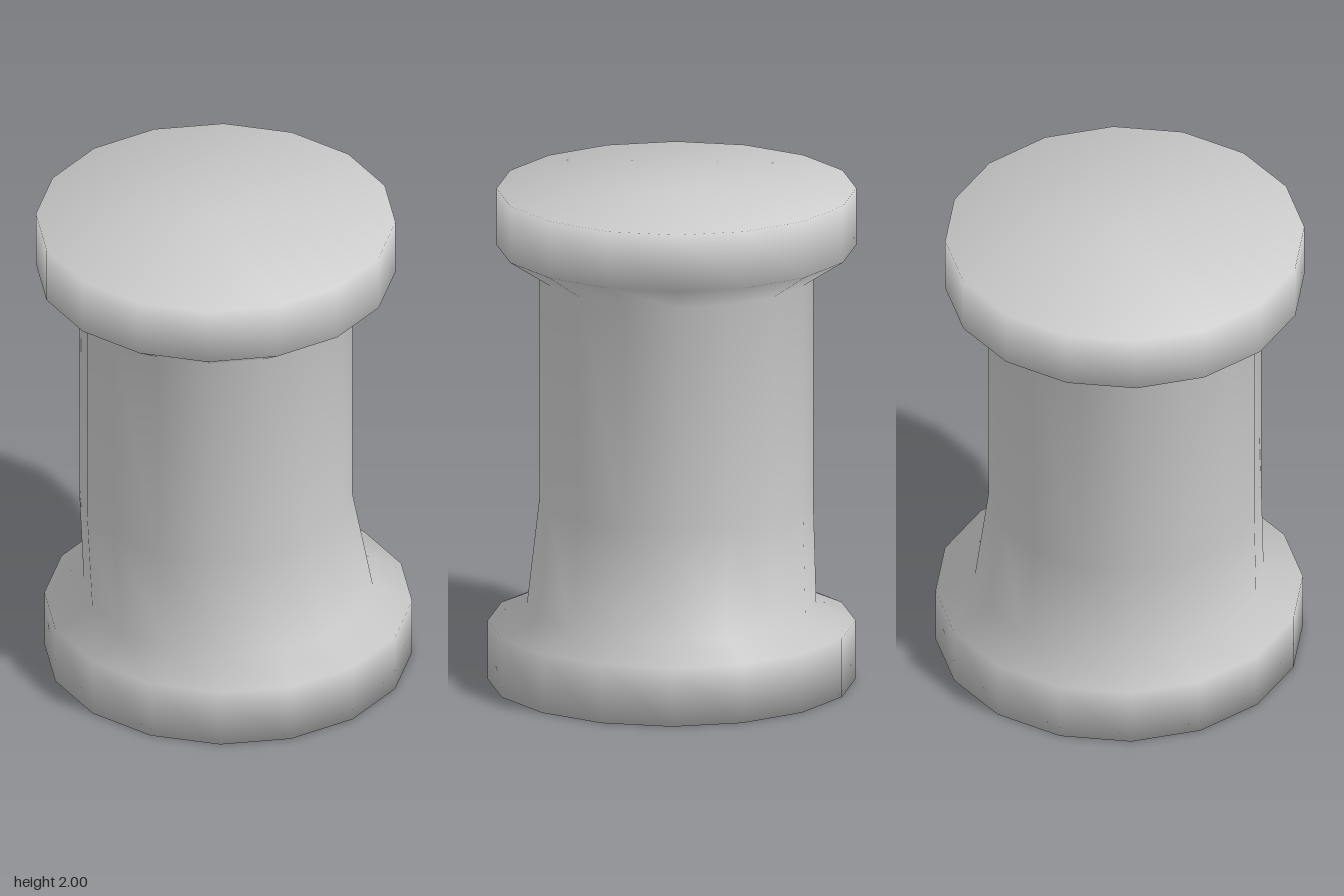
import * as THREE from 'three';

const SIDES = 16;

// Closed loft through level rings [height, centre x, radius], listed bottom to top.
// Corners are shared, so the shading runs smoothly over every edge.
function loft(rings) {
  const positions = [];
  const index = [];
  for (const [y, cx, r] of rings) {
    for (let i = 0; i < SIDES; i++) {
      const a = (i / SIDES) * Math.PI * 2;
      positions.push(cx + r * Math.cos(a), y, r * Math.sin(a));
    }
  }
  // Walls
  for (let k = 0; k < rings.length - 1; k++) {
    for (let i = 0; i < SIDES; i++) {
      const j = (i + 1) % SIDES;
      const low = k * SIDES, up = low + SIDES;
      index.push(low + i, up + i, up + j, low + i, up + j, low + j);
    }
  }
  // End caps
  const last = (rings.length - 1) * SIDES;
  const bottom = rings.length * SIDES, top = bottom + 1;
  for (const [y, cx] of [rings[0], rings[rings.length - 1]]) positions.push(cx, y, 0);
  for (let i = 0; i < SIDES; i++) {
    const j = (i + 1) % SIDES;
    index.push(bottom, i, j, top, last + j, last + i);
  }
  const geometry = new THREE.BufferGeometry();
  geometry.setAttribute('position', new THREE.Float32BufferAttribute(positions, 3));
  geometry.setIndex(index);
  geometry.computeVertexNormals();
  return geometry;
}

export function createModel() {
  const group = new THREE.Group();
  group.name = 'spool';

  // Base flange, flared foot, straight shaft and top flange in one skin
  const body = new THREE.Mesh(
    loft([
      [0, 0.016, 0.729],
      [0.24, 0.016, 0.729],
      [0.31, 0.016, 0.573],
      [0.735, -0.034, 0.542],
      [1.655, -0.034, 0.542],
      [1.768, -0.034, 0.713],
      [2, -0.034, 0.713],
    ]),
    new THREE.MeshStandardMaterial({ color: 0xcccccc })
  );
  body.name = 'spoolBody';
  group.add(body);
  return group;
}
